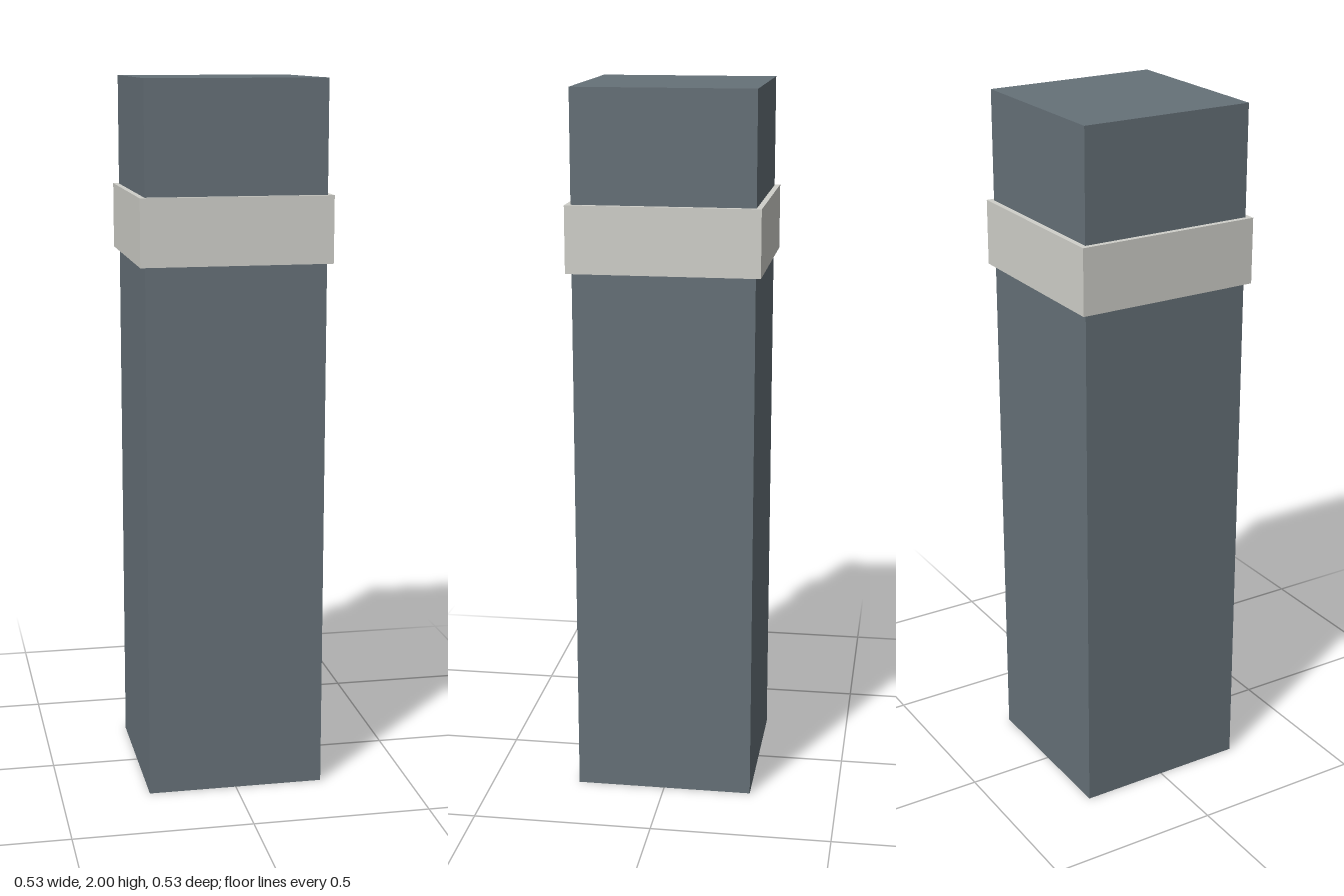
import * as THREE from 'three';

// Square block centred on the vertical axis, spanning bottom to top
function squareBlock(name, width, bottom, top, color) {
  const mesh = new THREE.Mesh(
    new THREE.BoxGeometry(width, top - bottom, width),
    new THREE.MeshStandardMaterial({ color })
  );
  mesh.position.y = (bottom + top) / 2;
  mesh.name = name;
  return mesh;
}

export function createModel() {
  const bollard = new THREE.Group();
  bollard.name = 'bollard';
  bollard.add(
    squareBlock('post', 0.5, 0, 2, 0x667178),
    // Pale band standing slightly proud of the post
    squareBlock('band', 0.53, 1.505, 1.69, 0xd0d0ca)
  );
  return bollard;
}
